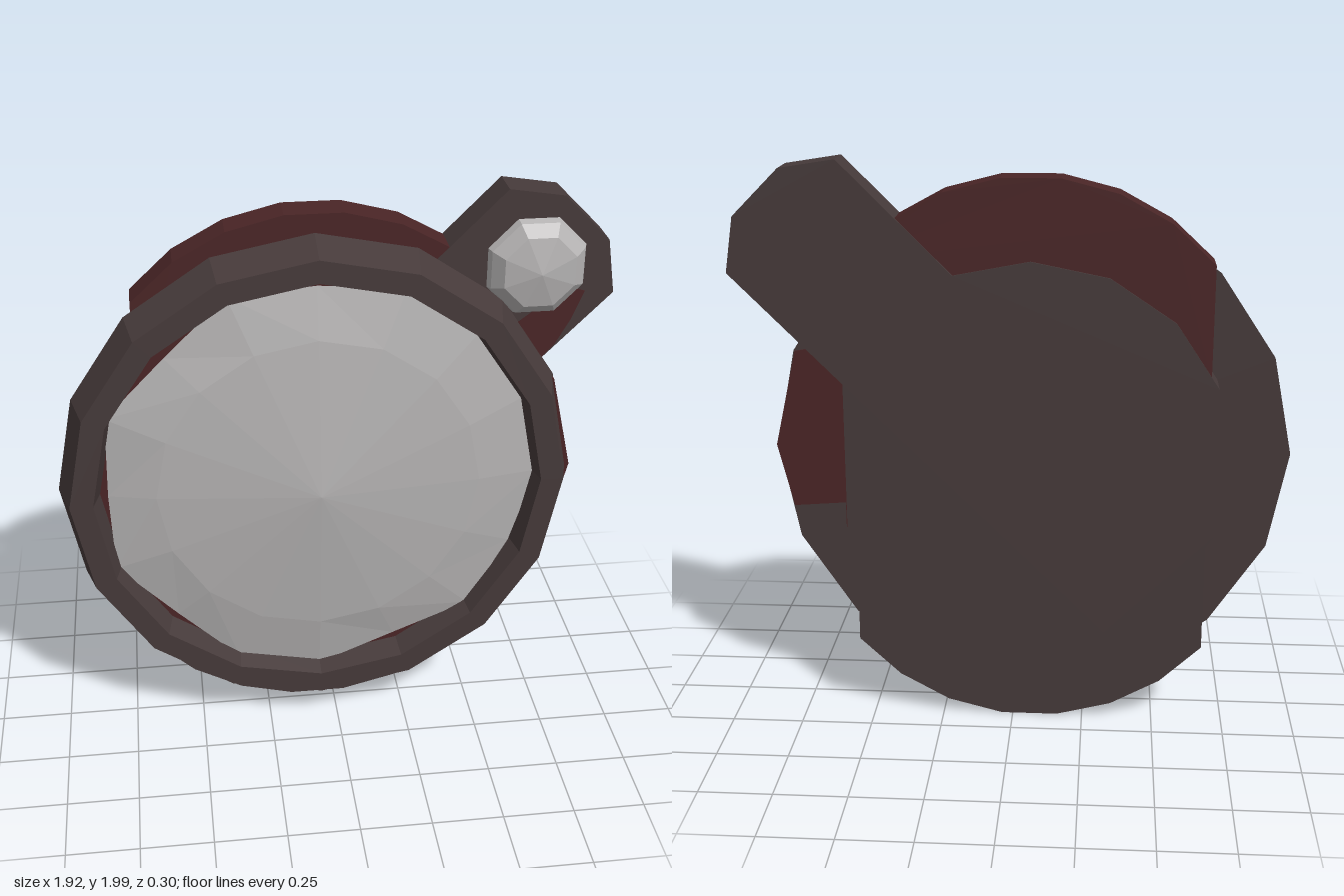
import * as THREE from 'three';

const CX = -0.06, CY = 0.98; // centre of the round housing

const paint = (name, color) => {
  const m = new THREE.MeshStandardMaterial({ color, flatShading: true });
  m.name = name;
  return m;
};

const polar = (r, deg) => {
  const a = THREE.MathUtils.degToRad(deg);
  return [r * Math.cos(a), r * Math.sin(a)];
};

// Straight-sided plate between two z positions
function plate(points, z0, z1) {
  const shape = new THREE.Shape(points.map(([x, y]) => new THREE.Vector2(x, y)));
  const geo = new THREE.ExtrudeGeometry(shape, { depth: z1 - z0, bevelEnabled: false });
  return geo.translate(0, 0, z0);
}

// Turned part whose axis points forward; profile is [radius, z]
function turned(profile, sides) {
  const geo = new THREE.LatheGeometry(profile.map(([r, z]) => new THREE.Vector2(r, z)), sides);
  return geo.rotateX(Math.PI / 2);
}

// Faceted dome from a centre point and two rings of equal count
function facetedDome(apexZ, inner, innerZ, outer, outerZ) {
  const n = inner.length, pos = [0, 0, apexZ], idx = [];
  inner.forEach(([x, y]) => pos.push(x, y, innerZ));
  outer.forEach(([x, y]) => pos.push(x, y, outerZ));
  for (let i = 0; i < n; i++) {
    const j = (i + 1) % n, a = 1 + i, b = 1 + j, c = a + n, d = b + n;
    idx.push(0, a, b, a, c, d, a, d, b);
  }
  const geo = new THREE.BufferGeometry();
  geo.setAttribute('position', new THREE.Float32BufferAttribute(pos, 3));
  geo.setIndex(idx);
  geo.computeVertexNormals();
  return geo;
}

export function createModel() {
  const brown = paint('dark brown', 0x463a3a);
  const red = paint('dark red', 0x4a2526);
  const silver = paint('silver', 0xb4b2b2);

  const group = new THREE.Group();
  const add = (name, geo, mat, x = 0, y = 0, z = 0) => {
    const mesh = new THREE.Mesh(geo, mat);
    mesh.name = name;
    mesh.position.set(x, y, z);
    group.add(mesh);
    return mesh;
  };

  // Bezel ring with closed back
  add('bezel', turned([[0, -0.02], [0.9, -0.02], [0.86, 0.12], [0.78, 0.12],
    [0.755, 0.02], [0, 0.02]], 16), brown, CX, CY);
  add('bezelFloor', new THREE.CircleGeometry(0.77, 16), red, CX, CY, 0.03);

  // Red patch wrapping the back and edge of the bezel
  add('bezelPatch', plate([[0.5, -0.2], polar(0.88, -15), [0.905, 0], polar(0.895, 22.5),
    [0.5, 0.4]], -0.026, 0.02), red, CX, CY);

  // Shallow lens with an uneven edge
  const inner = [], outer = [];
  const chord = { 135: 0.725, 180: 0.73, 225: 0.725, 292.5: 0.72, 337.5: 0.75, 90: 0.745 };
  for (let i = 0; i < 16; i++) {
    const deg = i * 22.5;
    inner.push(polar(0.565, deg));
    outer.push(polar(chord[deg] ?? 0.78, deg));
  }
  add('lens', facetedDome(0.15, inner, 0.09, outer, 0.05), silver, CX, CY);

  // Upper and lower rounded plates behind the bezel
  const arc = (cy, sign) => {
    const pts = [];
    for (let i = 0; i <= 7; i++) {
      const [x, y] = polar(0.795, 39.8 + (100.4 * i) / 7);
      pts.push([CX + x, cy + sign * y]);
    }
    return pts;
  };
  add('upperPlate', plate([[-0.67, 1.27], [0.55, 1.27], ...arc(1.155, 1)], -0.143, -0.022), red);
  add('lowerPlate', plate([[-0.67, 0.69], [0.55, 0.69], ...arc(0.797, -1)], -0.137, -0.026), brown);

  // Back disc and the arm reaching to the upper left, cut as one outline
  const outline = [[0.58, 0.72], [0.58, 1.24], [0.96, 1.62], [0.93, 1.81],
    [0.77, 1.97], [0.58, 2.0], [0.2, 1.62]];
  for (let deg = 90; deg <= 315; deg += 22.5) {
    const [x, y] = polar(0.69, deg);
    outline.push([CX + x, CY + y]);
  }
  add('backDiscAndArm', plate(outline, -0.15, -0.02), brown);

  // Red facing on the disc edge and the root of the arm
  add('edgeFacing', plate([[0.57, 0.72], [0.583, 0.72], [0.583, 1.239], [0.703, 1.359],
    [0.695, 1.363], [0.57, 1.24]], -0.147, -0.021), red);
  add('armPatch', plate([[0.6, 1.27], [0.725, 1.39], [0.77, 1.44], [0.82, 1.53], [0.86, 1.63],
    [0.8, 1.65], [0.6, 1.5]], -0.021, -0.017), red);

  // Small faceted lamp on the arm
  const knob = turned([[0.18, -0.02], [0.17, 0.005], [0.13, 0.045], [0, 0.07]], 8);
  add('smallLamp', knob.rotateZ(Math.PI / 8), silver, 0.685, 1.73);

  return group;
}
